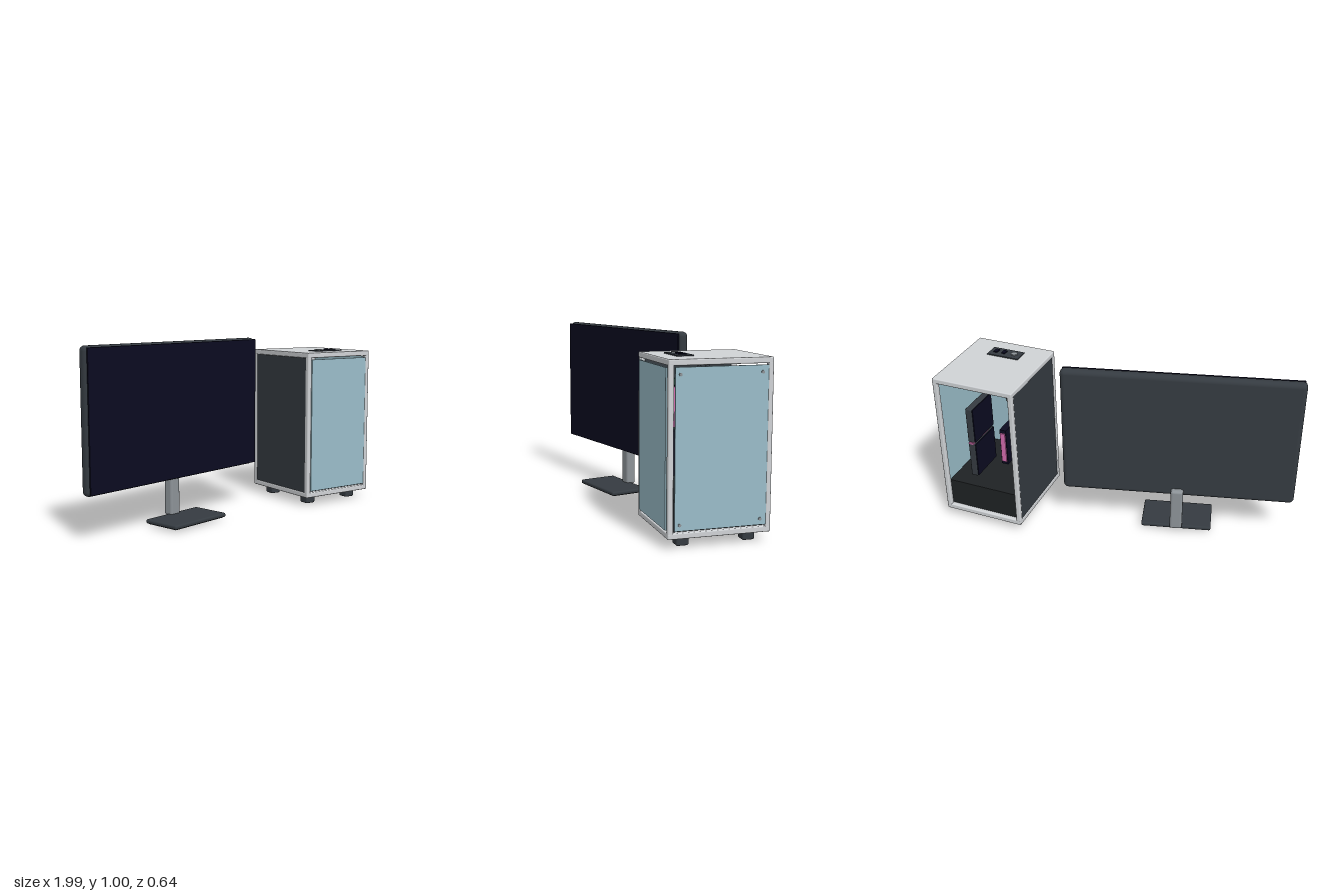
import * as THREE from 'three';
import { RoundedBoxGeometry } from 'three/addons/geometries/RoundedBoxGeometry.js';

const mat = (name, color) => {
  const m = new THREE.MeshStandardMaterial({ color });
  m.name = name;
  return m;
};

export function createModel() {
  const silver = mat('silver frame', 0xd0d3d6);
  const glass = mat('tinted glass', 0x9abdc9);
  const slate = mat('slate plastic', 0x353b41);
  const navy = mat('navy black', 0x0b0b20);
  const black = mat('soft black', 0x1f2224);
  const green = mat('circuit green', 0x1f3d33);
  const pink = mat('pink light', 0xd46cae);
  const metal = mat('grey metal', 0x8d9398);

  const add = (parent, name, geometry, material, x = 0, y = 0, z = 0) => {
    const m = new THREE.Mesh(geometry, material);
    m.name = name;
    m.position.set(x, y, z);
    parent.add(m);
    return m;
  };
  // box given by its min and max on each axis; r rounds the edges
  const box = (parent, name, material, [x0, x1], [y0, y1], [z0, z1], r = 0) => {
    const s = [x1 - x0, y1 - y0, z1 - z0];
    const g = r ? new RoundedBoxGeometry(...s, 4, r) : new THREE.BoxGeometry(...s);
    return add(parent, name, g, material, (x0 + x1) / 2, (y0 + y1) / 2, (z0 + z1) / 2);
  };
  const group = (parent, name) => {
    const g = new THREE.Group();
    g.name = name;
    parent.add(g);
    return g;
  };
  const disc = (r, h, n = 24) => new THREE.CylinderGeometry(r, r, h, n);

  const root = new THREE.Group();
  root.name = 'desktopComputer';

  // Monitor
  const monitor = group(root, 'monitor');
  box(monitor, 'monitorBody', slate, [-1, 0.3], [0.24, 1], [-0.182, -0.122], 0.026);
  box(monitor, 'screen', navy, [-0.993, 0.293], [0.249, 0.992], [-0.122, -0.113], 0.004);
  box(monitor, 'powerLight', metal, [0.237, 0.247], [0.253, 0.257], [-0.114, -0.112]);
  box(monitor, 'neck', metal, [-0.385, -0.315], [0.03, 0.29], [-0.215, -0.155], 0.014);
  box(monitor, 'standBase', slate, [-0.55, -0.15], [0.014, 0.038], [-0.19, 0.042], 0.01);
  box(monitor, 'baseMat', black, [-0.538, -0.162], [0.011, 0.016], [-0.178, 0.03]);

  // Tower, turned slightly
  const tower = group(root, 'tower');
  tower.position.set(0.697, 0, 0);
  tower.rotation.y = -0.25;
  const W = 0.24, D = 0.268, T = 0.028;

  box(tower, 'topSlab', silver, [-W, W], [0.886, 0.916], [-D, D], 0.006);
  box(tower, 'bottomSlab', silver, [-W, W], [0.05, 0.08], [-D, D], 0.006);
  for (const sx of [-1, 1]) {
    for (const sz of [-1, 1]) {
      const cx = sx * (W - T / 2), cz = sz * (D - T / 2);
      box(tower, 'cornerPost', silver, [cx - T / 2, cx + T / 2], [0.07, 0.896],
        [cz - T / 2, cz + T / 2], 0.007);
      box(tower, 'foot', slate, [sx * 0.158 - 0.032, sx * 0.158 + 0.032], [0, 0.052],
        [sz * 0.174 - 0.032, sz * 0.174 + 0.032], 0.008);
    }
  }

  // Panels
  box(tower, 'frontGlass', glass, [-0.213, 0.208], [0.09, 0.876], [0.263, 0.272]);
  box(tower, 'sideGlass', glass, [0.233, 0.242], [0.09, 0.879], [-0.24, 0.235]);
  box(tower, 'closedSidePanel', slate, [-0.236, -0.222], [0.08, 0.886], [-0.241, 0.241]);
  for (const y of [0.12, 0.845]) {
    for (const z of [-0.208, 0.21]) {
      add(tower, 'glassScrew', disc(0.008, 0.008, 16), metal, 0.243, y, z).rotation.z = Math.PI / 2;
    }
  }

  // Control plate on top
  box(tower, 'controlPlate', slate, [-0.095, 0.095], [0.914, 0.922], [0.09, 0.178]);
  add(tower, 'powerButton', disc(0.018, 0.008), metal, -0.053, 0.924, 0.137);
  for (const x of [0.01, 0.058]) {
    box(tower, 'topPort', navy, [x - 0.011, x + 0.011], [0.92, 0.928], [0.12, 0.154]);
  }

  // Power supply cover and circuit board
  box(tower, 'supplyCover', black, [-0.221, 0.215], [0.08, 0.24], [-0.243, 0.24]);
  box(tower, 'circuitBoard', green, [-0.222, -0.205], [0.265, 0.775], [-0.212, 0.16]);

  // Pump on the board with two ribbed hoses
  const pump = group(tower, 'pump');
  pump.position.set(-0.18, 0.64, -0.01);
  pump.rotation.z = -Math.PI / 2;
  add(pump, 'pumpBody', disc(0.062, 0.05, 8), metal);
  add(pump, 'pumpCap', disc(0.045, 0.006), navy, 0, 0.027, 0);
  add(pump, 'pumpRing', new THREE.TorusGeometry(0.036, 0.005, 8, 28), pink, 0, 0.031, 0).rotation.x = Math.PI / 2;
  for (const dz of [-0.02, 0.025]) {
    const path = new THREE.CatmullRomCurve3([
      new THREE.Vector3(-0.15, 0.67, dz), new THREE.Vector3(-0.08, 0.72, dz),
      new THREE.Vector3(-0.08, 0.8, dz - 0.02), new THREE.Vector3(-0.11, 0.888, dz - 0.05),
    ]);
    add(tower, 'hose', new THREE.TubeGeometry(path, 24, 0.01, 8), black);
    for (let i = 0; i <= 10; i++) {
      const p = path.getPointAt(i / 10);
      const rib = add(tower, 'hoseRib', new THREE.TorusGeometry(0.01, 0.005, 6, 12), slate, p.x, p.y, p.z);
      rib.lookAt(p.clone().add(path.getTangentAt(i / 10)));
    }
  }

  // Memory sticks with light strips
  for (const z of [0.08, 0.105]) {
    box(tower, 'memoryStick', navy, [-0.205, -0.14], [0.53, 0.74], [z, z + 0.012]);
    box(tower, 'memoryLight', pink, [-0.14, -0.133], [0.53, 0.74], [z, z + 0.012]);
  }

  // Graphics card standing between board and fans
  box(tower, 'graphicsCard', navy, [-0.07, -0.03], [0.3, 0.53], [-0.06, 0.2]);
  box(tower, 'graphicsLight', pink, [-0.065, -0.035], [0.32, 0.51], [-0.067, -0.06]);

  // Two stacked fans facing the side glass
  for (const y of [0.385, 0.61]) {
    const fan = group(tower, 'fan');
    fan.position.set(0.075, y, -0.09);
    box(fan, 'fanFrame', slate, [-0.02, 0.02], [-0.108, 0.108], [-0.11, 0.11], 0.006);
    box(fan, 'fanBack', navy, [-0.025, -0.02], [-0.104, 0.104], [-0.106, 0.106]);
    const face = group(fan, 'fanFace');
    face.rotation.y = Math.PI / 2;
    face.position.x = 0.021;
    add(face, 'fanWell', new THREE.CircleGeometry(0.098, 32), navy);
    add(face, 'fanRing', new THREE.TorusGeometry(0.09, 0.006, 8, 36), pink);
    add(face, 'fanHub', disc(0.03, 0.012), metal, 0, 0, 0.004).rotation.x = Math.PI / 2;
    for (let i = 0; i < 9; i++) {
      const arm = group(face, 'bladeArm');
      arm.rotation.z = (i / 9) * Math.PI * 2;
      add(arm, 'fanBlade', new THREE.BoxGeometry(0.056, 0.026, 0.003), slate, 0.056, 0, 0.004).rotation.x = 0.15;
    }
  }
  box(tower, 'fanCable', pink, [0.06, 0.09], [0.493, 0.502], [-0.205, 0.02]);

  return root;
}
